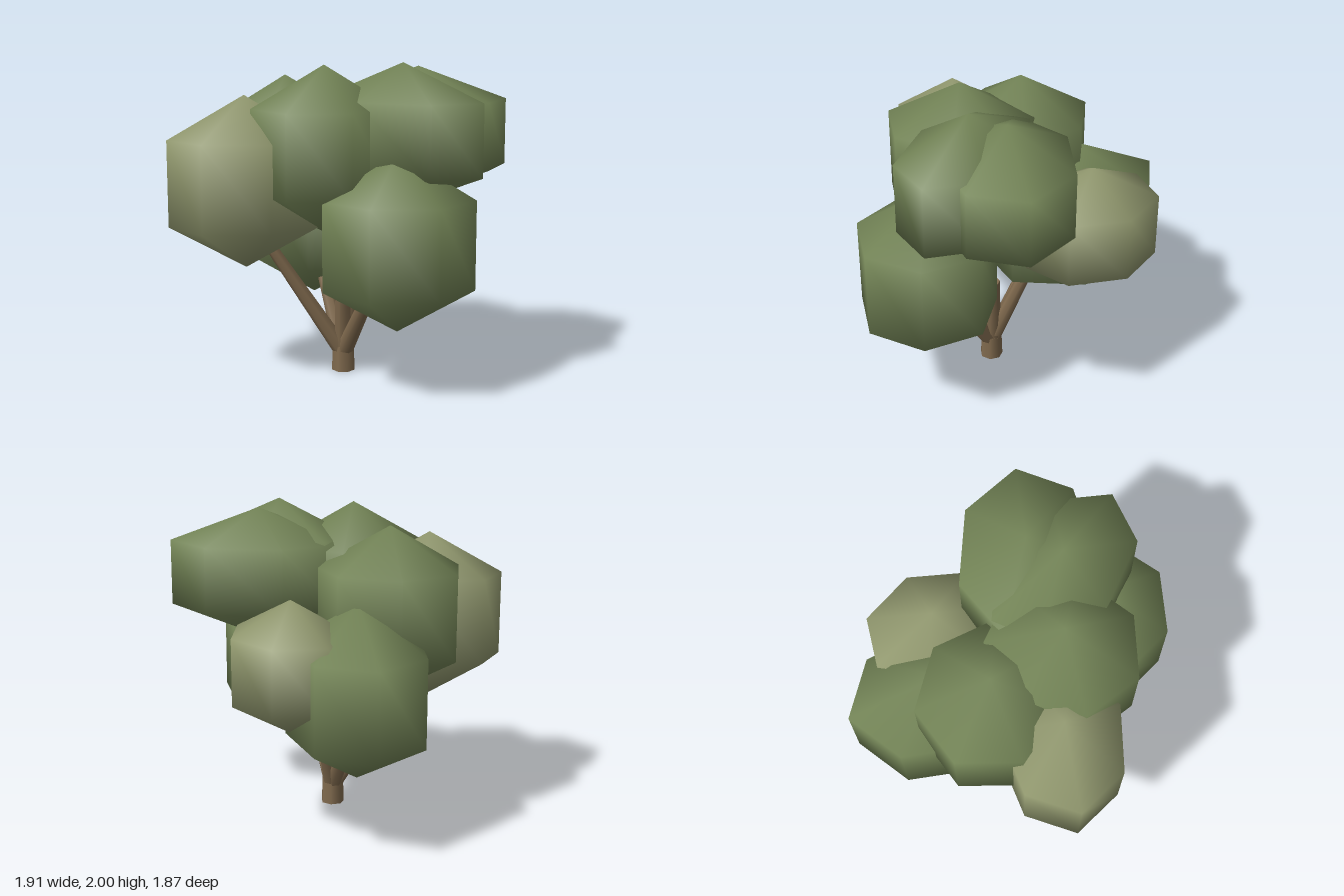
import * as THREE from 'three';

const material = (color) => new THREE.MeshStandardMaterial({ color });

// Seven-sided leaf clump, stretched sideways: corner and side are the [x, z]
// offsets of one ring corner and of the ring a quarter turn further on
function leafClump(name, center, height, corner, side, mat) {
  const ring = Math.sin(Math.PI / 3);
  const geometry = new THREE.SphereGeometry(1, 7, 3);
  geometry.rotateY(Math.PI);
  geometry.applyMatrix4(new THREE.Matrix4().makeBasis(
    new THREE.Vector3(corner[0], 0, corner[1]).divideScalar(ring),
    new THREE.Vector3(0, height, 0),
    new THREE.Vector3(side[0], 0, side[1]).divideScalar(ring),
  ));
  const mesh = new THREE.Mesh(geometry, mat);
  mesh.name = name;
  mesh.position.set(...center);
  return mesh;
}

// Tapered round limb between two points
function limb(name, from, to, r0, r1, mat) {
  const a = new THREE.Vector3(...from);
  const dir = new THREE.Vector3(...to).sub(a);
  const length = dir.length();
  const geometry = new THREE.CylinderGeometry(r1, r0, length, 7);
  geometry.translate(0, length / 2, 0);
  const mesh = new THREE.Mesh(geometry, mat);
  mesh.name = name;
  mesh.position.copy(a);
  mesh.quaternion.setFromUnitVectors(new THREE.Vector3(0, 1, 0), dir.normalize());
  return mesh;
}

export function createModel() {
  const tree = new THREE.Group();
  tree.name = 'tree';
  const bark = material(0x806a4e);
  const green = material(0x748557);
  const paleGreen = material(0x939a70);

  // Short trunk, continued by a thick cut-off stem
  tree.add(limb('trunk', [-0.03, 0, 0.092], [-0.03, 0.16, 0.092], 0.076, 0.07, bark));
  tree.add(limb('stem', [-0.03, 0.12, 0.092], [0.01, 0.62, 0.07], 0.066, 0.052, bark));

  // Branches fanning out from the trunk top
  const branches = new THREE.Group();
  branches.name = 'branches';
  const tips = [
    [-0.46, 0.93, 0.4],
    [-0.32, 0.68, -0.1],
    [0.42, 0.87, 0.36],
    [-0.09, 0.95, -0.25],
    [0.05, 1.08, 0.26],
  ];
  tips.forEach((tip, i) => {
    branches.add(limb(`branch${i + 1}`, [-0.03, 0.12, 0.092], tip, 0.058, 0.034, bark));
  });
  tree.add(branches);

  // Leaf clumps: name, centre, half height, ring corner, ring side, material
  const leaves = new THREE.Group();
  leaves.name = 'leaves';
  const clumps = [
    ['frontTopLeaves', [-0.05, 1.465, 0.3], 0.52, [0.01, 0.48], [-0.44, 0.016], green],
    ['frontLeftLowLeaves', [0.47, 0.93, 0.33], 0.55, [0.04, 0.445], [-0.465, 0.06], green],
    ['frontRightPaleLeaves', [-0.49, 1.26, 0.52], 0.54, [-0.372, 0.299], [-0.243, -0.291], paleGreen],
    ['leftTopLeaves', [0.38, 1.555, 0.08], 0.445, [0.342, 0.33], [-0.441, 0.185], green],
    ['backLeftTopLeaves', [0.37, 1.55, -0.16], 0.415, [0.08, -0.45], [0.537, -0.032], green],
    ['rightTopLeaves', [-0.48, 1.365, 0.045], 0.53, [-0.47, 0], [-0.006, -0.45], green],
    ['backRightLowLeaves', [-0.48, 0.93, -0.32], 0.55, [-0.42, -0.42], [0.294, -0.316], green],
    ['backPaleLeaves', [-0.145, 1.08, -0.54], 0.415, [-0.15, -0.4], [0.388, -0.077], paleGreen],
  ];
  for (const clump of clumps) leaves.add(leafClump(...clump));
  tree.add(leaves);

  return tree;
}
